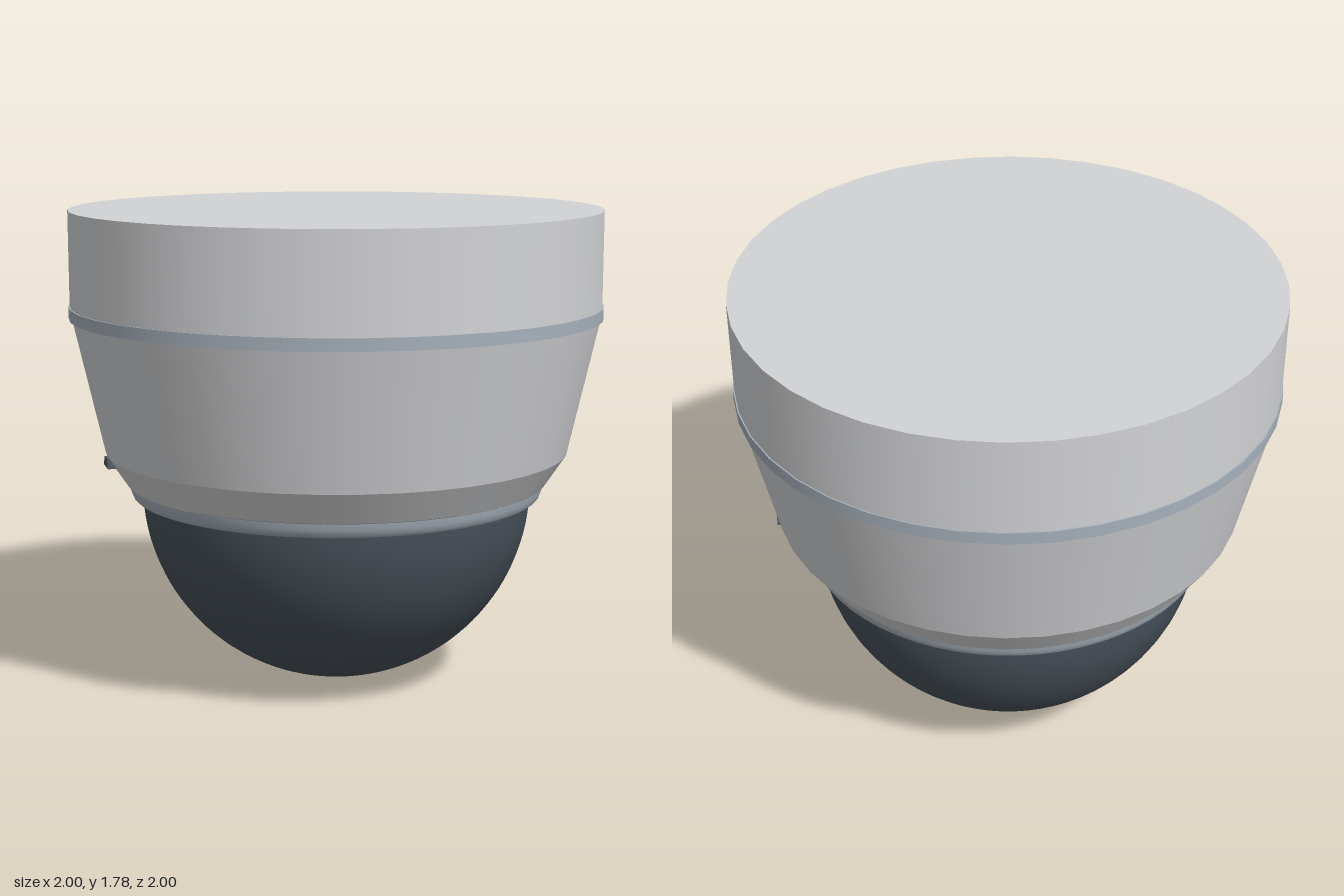
import * as THREE from 'three';

const SEGMENTS = 40;

function material(name, hex) {
  const m = new THREE.MeshStandardMaterial({ color: hex });
  m.name = name;
  return m;
}

export function createModel() {
  const group = new THREE.Group();
  const shell = material('light grey shell', 0xd2d3d5);
  const trim = material('blue grey trim', 0xa6b0ba);
  const glass = material('dark dome', 0x48515a);
  const dark = material('dark latch', 0x48515a);

  const add = (name, geometry, mat) => {
    const mesh = new THREE.Mesh(geometry, mat);
    mesh.name = name;
    group.add(mesh);
    return mesh;
  };

  // Each profile runs upward; separate bands keep the edges between them sharp
  const band = (name, points, mat, segments = SEGMENTS) =>
    add(name, new THREE.LatheGeometry(points.map(([r, y]) => new THREE.Vector2(r, y)), segments), mat);

  // Housing
  band('lowerBevel', [[0.795, 0.76], [0.875, 0.88]], shell);
  band('taperedHousing', [[0.875, 0.88], [0.99, 1.39]], shell);
  band('mountingBase', [[0.995, 1.43], [0.995, 1.785]], shell);
  const top = add('topPlate', new THREE.CircleGeometry(0.995, SEGMENTS), shell);
  top.rotation.x = -Math.PI / 2;
  top.position.y = 1.785;

  // Seam ring between base and housing
  band('seamRingUnderside', [[0.985, 1.385], [1, 1.385]], trim);
  band('seamRing', [[1, 1.385], [1, 1.43]], trim);
  band('seamRingTop', [[1, 1.43], [0.99, 1.43]], trim);

  // Rounded collar holding the dome
  band('collar', [
    [0.73, 0.7], [0.75, 0.7], [0.765, 0.705], [0.775, 0.715], [0.782, 0.735], [0.786, 0.757],
  ], trim, 64);
  band('collarLip', [[0.786, 0.757], [0.8, 0.762]], trim, 64);

  // Dome
  const R = 0.737;
  const dome = add('dome', new THREE.SphereGeometry(R, 64, 32, 0, Math.PI * 2, Math.PI / 2, Math.PI / 2), glass);
  dome.position.y = R;

  // Side latches, mirrored
  const outline = new THREE.Shape([
    new THREE.Vector2(-0.052, 0.845), new THREE.Vector2(0.052, 0.845),
    new THREE.Vector2(0.032, 0.879), new THREE.Vector2(-0.032, 0.879),
  ]);
  for (const side of [1, -1]) {
    const geometry = new THREE.ExtrudeGeometry(outline, { depth: 0.06, bevelEnabled: false });
    geometry.translate(0, 0, 0.822);
    geometry.rotateY(side * Math.PI / 2);
    add(side > 0 ? 'leftLatch' : 'rightLatch', geometry, dark);
  }

  return group;
}
